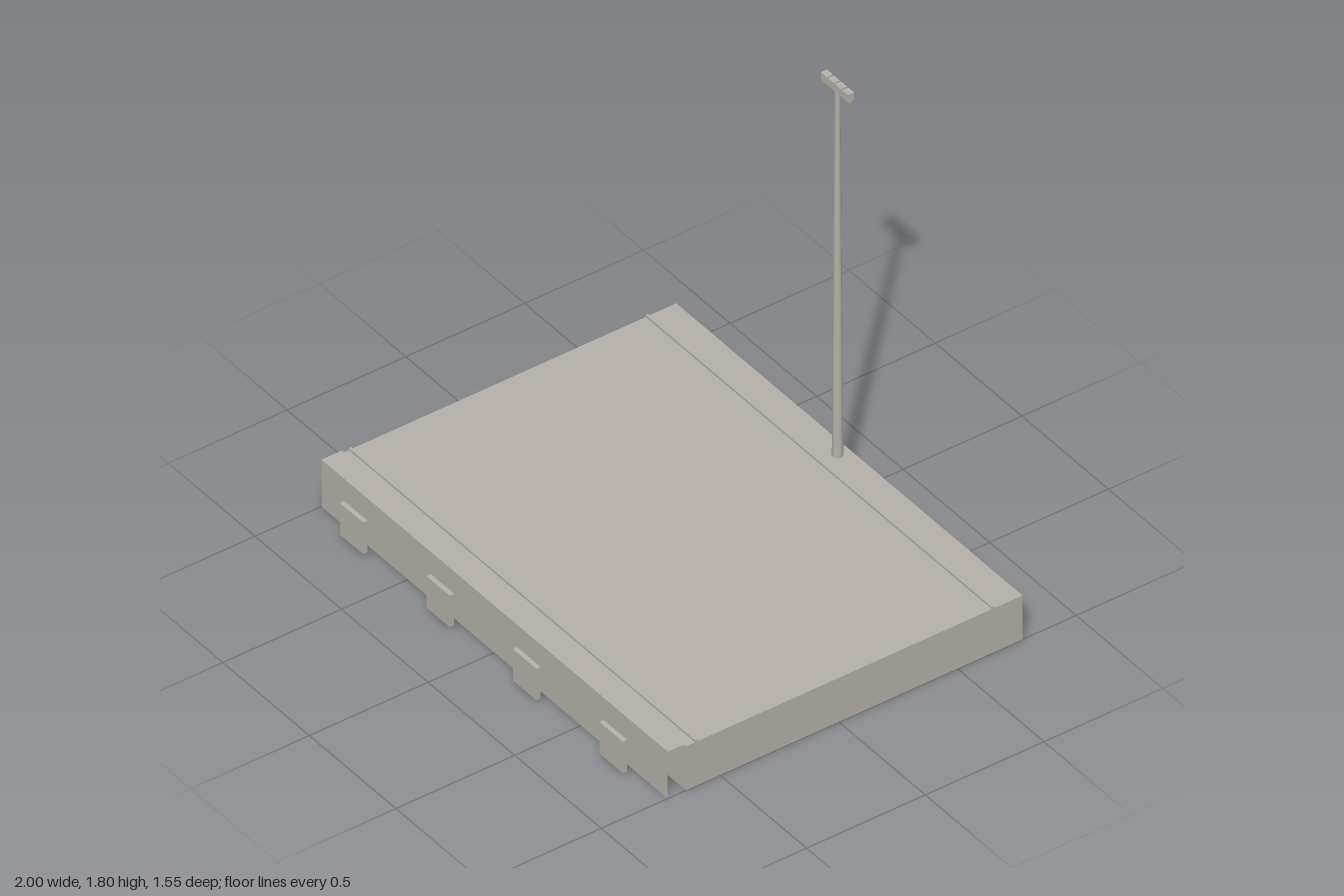
import * as THREE from 'three';

export function createModel() {
  const model = new THREE.Group();
  const concrete = new THREE.MeshStandardMaterial({ color: 0xb5b1a9, side: THREE.DoubleSide });
  concrete.name = 'warm grey';

  const add = (name, geometry, x, y, z) => {
    const mesh = new THREE.Mesh(geometry, concrete);
    mesh.name = name;
    mesh.position.set(x, y, z);
    model.add(mesh);
    return mesh;
  };
  const box = (name, w, h, d, x, y, z) => add(name, new THREE.BoxGeometry(w, h, d), x, y, z);

  // Platform slab
  box('platform', 2, 0.19, 1.417, 0, 0.095, -0.0655);

  // Open fascia: a thin front sheet and the cap that ties it to the slab
  add('fasciaFront', new THREE.PlaneGeometry(2, 0.202), 0, 0.101, 0.72);
  add('fasciaCap', new THREE.PlaneGeometry(2, 0.085).rotateX(-Math.PI / 2), 0, 0.202, 0.6775);

  // Low rails along the front and back of the deck
  for (const z of [0.6, -0.65]) box('deckRail', 2, 0.01, 0.01, 0, 0.194, z);

  // Panels standing just ahead of the fascia
  for (const x of [-0.75, -0.25, 0.25, 0.75]) box('frontPanel', 0.135, 0.136, 0.018, x, 0.088, 0.767);

  // Tapered light mast
  const mastZ = -0.724;
  add('mast', new THREE.CylinderGeometry(0.01, 0.02, 1.57, 12), 0, 0.975, mastZ);

  // Crossbar and row of four lamps
  box('lampBar', 0.15, 0.013, 0.01, 0, 1.761, mastZ);
  for (const x of [-0.0615, -0.0205, 0.0205, 0.0615]) {
    box('lamp', 0.034, 0.03, 0.026, x, 1.782, mastZ);
  }

  return model;
}
